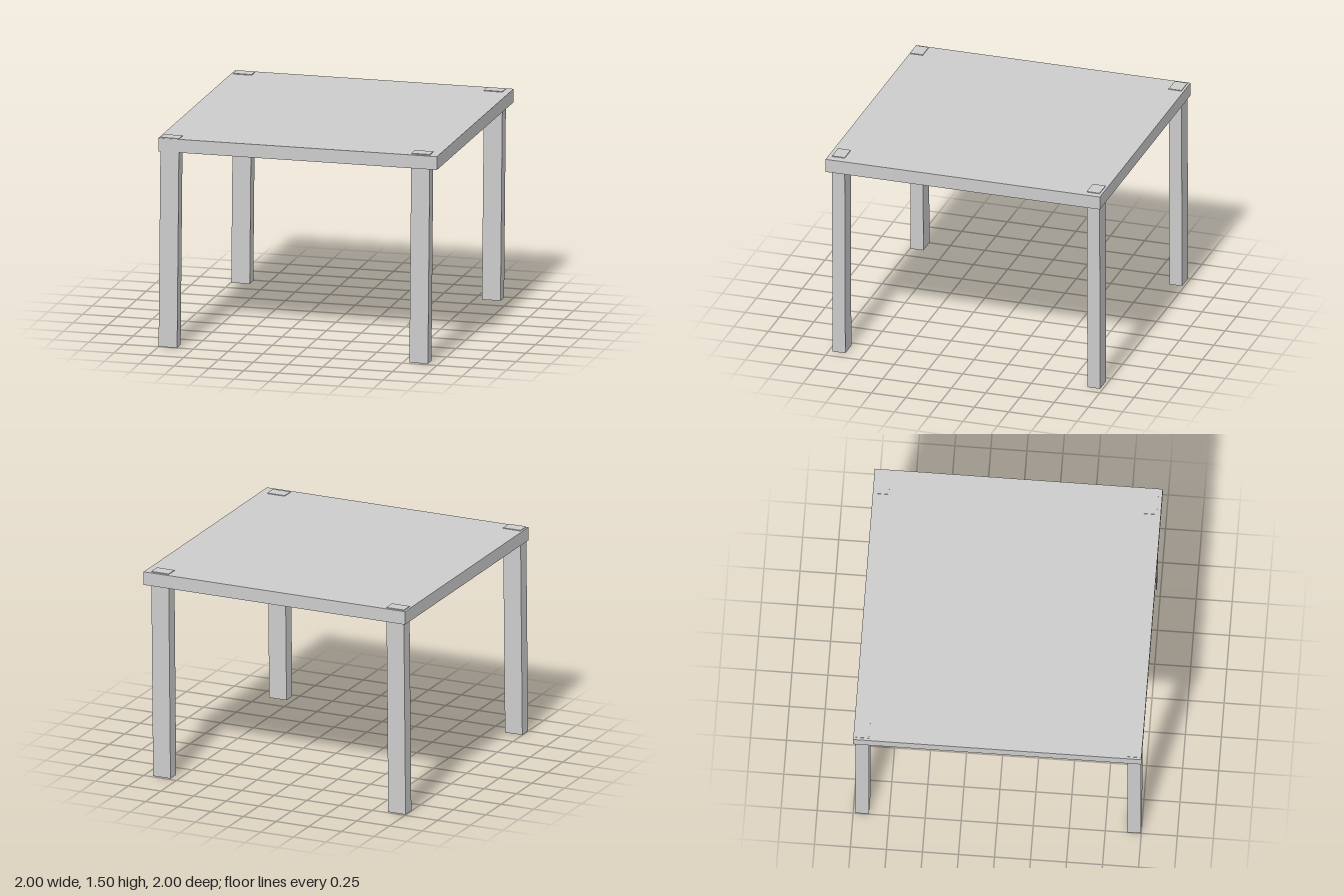
import * as THREE from 'three';

const TOP_Y = 1.49;
const LEG_H = 1.495; // legs pass through the slab and stand just proud of it
const LEG_W = 0.133;
const LEG_D = 0.093;
const LEAN = 0.014; // sideways drift of each leg from foot to top

export function createModel() {
  const table = new THREE.Group();
  table.name = 'table';
  const material = new THREE.MeshStandardMaterial({ color: 0xcccccc, flatShading: true });

  // Square slab
  const slab = new THREE.Mesh(new THREE.BoxGeometry(2, 0.095, 2), material);
  slab.name = 'tabletop';
  slab.position.y = TOP_Y - 0.0475;
  table.add(slab);

  // Slightly leaning rectangular leg, origin at the centre of its foot
  const legGeometry = new THREE.BoxGeometry(LEG_W, LEG_H, LEG_D);
  legGeometry.translate(0, LEG_H / 2, 0);
  const shear = new THREE.Matrix4().makeShear(0, 0, LEAN / LEG_H, 0, 0, 0);
  legGeometry.applyMatrix4(shear);

  // Foot centres
  const legs = [
    ['frontLeftLeg', 0.861, 0.926],
    ['frontRightLeg', -0.933, 0.95],
    ['backLeftLeg', 0.87, -0.935],
    ['backRightLeg', -0.931, -0.937],
  ];
  for (const [name, x, z] of legs) {
    const leg = new THREE.Mesh(legGeometry, material);
    leg.name = name;
    leg.position.set(x, 0, z);
    table.add(leg);
  }
  return table;
}
